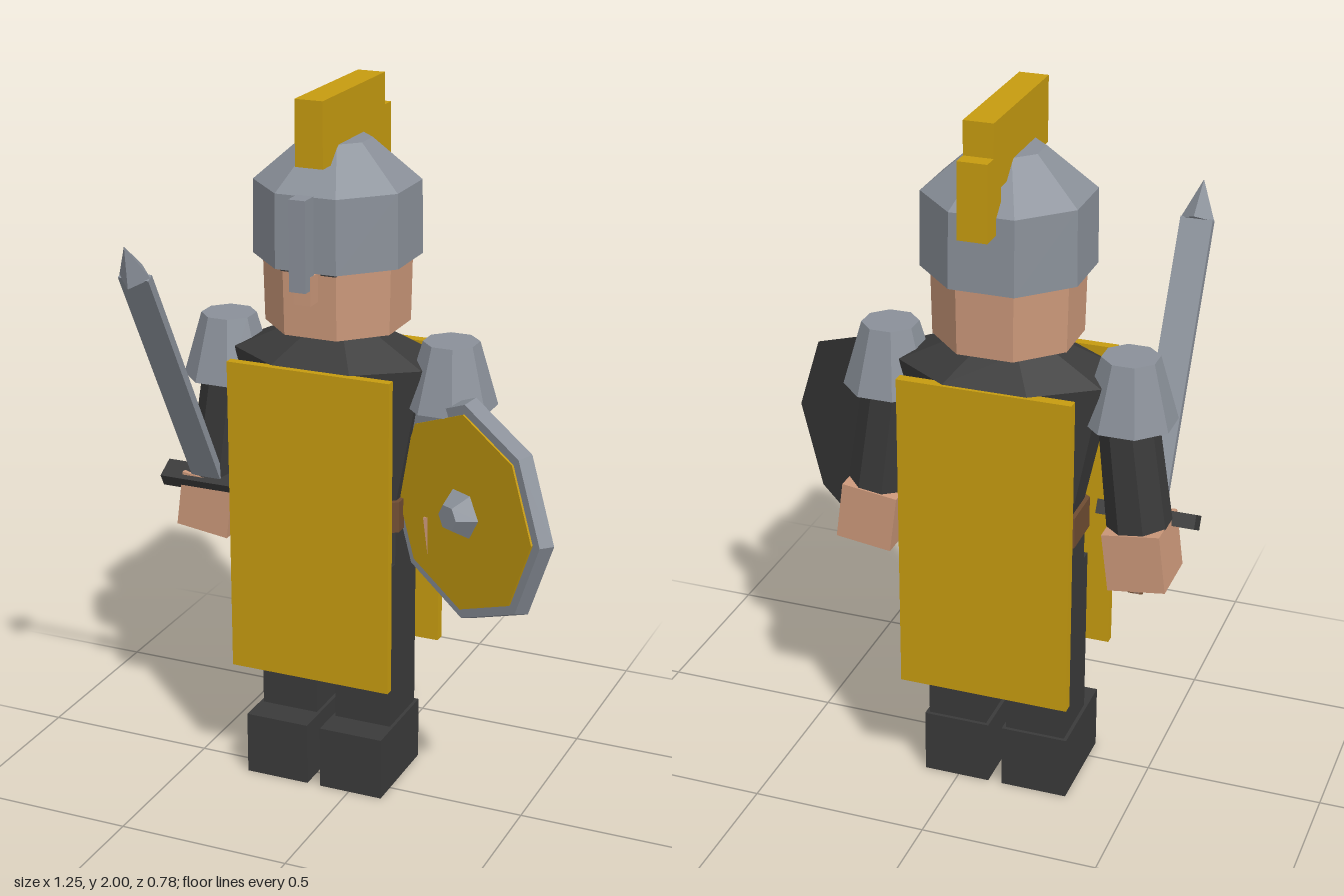
import * as THREE from 'three';

const mat = (name, color) => {
  const m = new THREE.MeshStandardMaterial({ color });
  m.name = name;
  return m;
};

// Split the faces so every facet has its own flat normal
const faceted = (geo) => {
  const g = geo.index ? geo.toNonIndexed() : geo;
  g.computeVertexNormals();
  return g;
};

function add(parent, name, geo, material, x = 0, y = 0, z = 0) {
  const m = new THREE.Mesh(faceted(geo), material);
  m.name = name;
  m.position.set(x, y, z);
  parent.add(m);
  return m;
}

const box = (w, h, d) => new THREE.BoxGeometry(w, h, d);

// Octagonal frustum, flats on the axes, sized by half-widths at top and bottom
function octagon(topX, bottomX, h, depthRatio = 1) {
  const k = 1 / Math.cos(Math.PI / 8);
  return new THREE.CylinderGeometry(topX * k, bottomX * k, h, 8, 1, false, Math.PI / 8)
    .scale(1, 1, depthRatio);
}

export function createModel() {
  const gold = mat('gold', 0xc69b10);
  const steel = mat('steel', 0x8a9099);
  const dark = mat('dark cloth', 0x3a3a3a);
  const skin = mat('skin', 0xcb987a);
  const brown = mat('brown leather', 0x6e4c32);

  const root = new THREE.Group();
  root.name = 'armouredSoldier';
  const body = new THREE.Group();
  body.name = 'body';
  body.position.set(-0.11, 0, -0.115);
  root.add(body);

  // Torso, belt and collar
  add(body, 'hips', octagon(0.2, 0.2, 0.15, 0.75), dark, 0, 0.705, 0);
  add(body, 'belt', octagon(0.212, 0.212, 0.09, 0.755), brown, 0, 0.825, 0);
  add(body, 'torso', octagon(0.28, 0.2, 0.395, 0.68), dark, 0, 1.0675, 0);
  add(body, 'collar', octagon(0.135, 0.28, 0.07, 0.68), dark, 0, 1.3, 0);

  // Tabard plates
  add(body, 'frontTabard', box(0.48, 0.915, 0.026), gold, 0, 0.8075, 0.197);
  add(body, 'backTabard', box(0.48, 0.915, 0.03), gold, 0, 0.8075, -0.186);

  // Neck, head and face
  add(body, 'neck', octagon(0.07, 0.07, 0.08), skin, 0, 1.34, 0);
  add(body, 'head', octagon(0.19, 0.185, 0.25), skin, 0, 1.48, 0);
  add(body, 'nose', box(0.05, 0.08, 0.06), skin, 0, 1.5, 0.205);
  for (const s of [-1, 1]) {
    add(body, s > 0 ? 'leftEye' : 'rightEye', box(0.045, 0.035, 0.008), dark, s * 0.058, 1.553, 0.191);
  }

  // Helmet with nose guard and crest
  add(body, 'helmetBand', octagon(0.211, 0.214, 0.205), steel, 0, 1.6475, 0);
  add(body, 'helmetDome', octagon(0.087, 0.211, 0.115), steel, 0, 1.8075, 0);
  add(body, 'noseGuard', box(0.048, 0.25, 0.055), steel, 0, 1.628, 0.237);
  add(body, 'crest', box(0.08, 0.18, 0.415), gold, 0, 1.91, -0.0225);
  add(body, 'crestTail', box(0.08, 0.205, 0.1), gold, 0, 1.8075, -0.225);

  for (const s of [-1, 1]) {
    const side = s > 0 ? 'left' : 'right';

    // Legs and boots
    add(body, side + 'Leg', box(0.17, 0.5, 0.185), dark, s * 0.115, 0.43, 0.002);
    add(body, side + 'Boot', box(0.19, 0.185, 0.285), dark, s * 0.115, 0.0925, 0.042);

    // Shoulder guard and angled arm with block hand
    add(body, side + 'ShoulderGuard', octagon(0.072, 0.12, 0.18), steel, s * 0.335, 1.245, 0);
    const arm = new THREE.Group();
    arm.name = side + 'Arm';
    arm.position.set(s * 0.32, 1.25, 0);
    arm.rotation.z = s * 0.13;
    add(arm, side + 'Sleeve', octagon(0.072, 0.082, 0.4), dark, 0, -0.2, 0);
    add(arm, side + 'Hand', box(0.16, 0.165, 0.175), skin, 0, -0.48, 0);
    body.add(arm);
  }

  // Sword leaning forward from the right hand
  const sword = new THREE.Group();
  sword.name = 'sword';
  sword.position.set(-0.488, 0.848, -0.052);
  sword.rotation.x = THREE.MathUtils.degToRad(29);
  add(sword, 'guard', box(0.275, 0.04, 0.065), dark);
  add(sword, 'grip', new THREE.CylinderGeometry(0.021, 0.021, 0.215, 8), brown, 0, -0.1075, 0);
  add(sword, 'blade', box(0.09, 0.81, 0.024), steel, 0, 0.405, 0);
  add(sword, 'bladeTip', new THREE.ConeGeometry(0.047, 0.11, 4), steel, 0, 0.862, 0);
  root.add(sword);

  // Octagonal shield held beside the left hand
  const shield = new THREE.Group();
  shield.name = 'shield';
  shield.position.set(0.332, 0.905, 0.018);
  shield.rotation.y = THREE.MathUtils.degToRad(-29);
  const disc = (top, bottom, h, sides, turn = 0) =>
    new THREE.CylinderGeometry(top, bottom, h, sides, 1, false, turn).rotateX(Math.PI / 2);
  add(shield, 'shieldRim', disc(0.31, 0.322, 0.04, 8), [steel, steel, dark]);
  add(shield, 'shieldFace', disc(0.283, 0.283, 0.008, 8), gold, 0, 0, 0.022);
  add(shield, 'shieldBoss', disc(0.037, 0.075, 0.055, 6, Math.PI / 6), steel, 0, 0, 0.0475);
  root.add(shield);

  return root;
}
